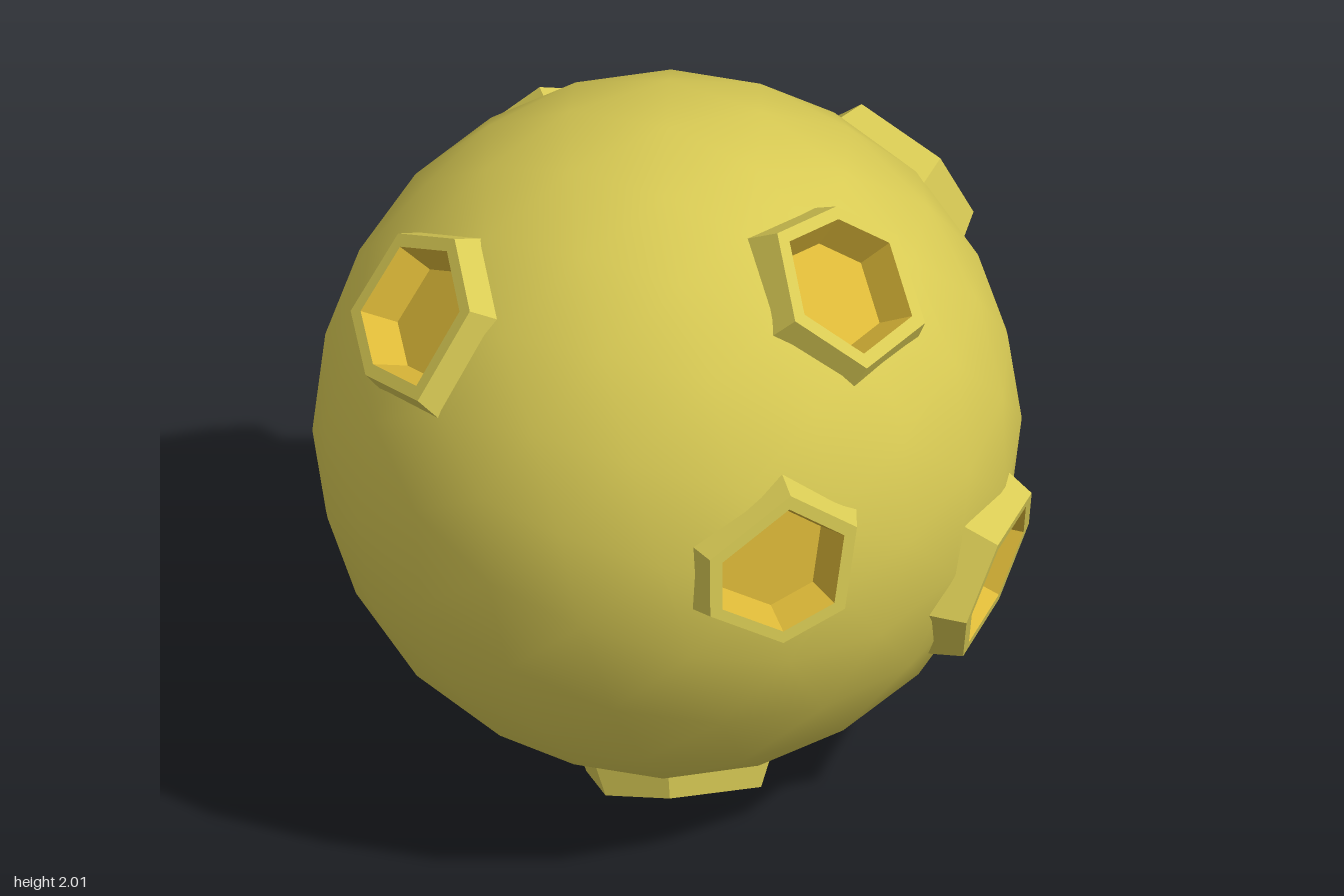
import * as THREE from 'three';

const RADIUS = 0.977;
const CENTRE = new THREE.Vector3(0, 1.02, -0.02);
const RIM = 1.01; // distance of each rim plane from the centre

// Each crater: facing direction, the axis solved from the rim plane, and the
// rim corners given in the two remaining axes
const CRATERS = [
  { n: [-0.19, 0.127, 0.97], solve: 'z', rim: [[-0.39, 0.21], [-0.15, 0.36], [0.03, 0.23], [-0.02, -0.01], [-0.2, -0.08], [-0.4, 0.04]] },
  { n: [0.235, 0.7, 0.67], solve: 'y', rim: [[0.05, 0.53], [0.27, 0.47], [0.43, 0.53], [0.41, 0.72], [0.17, 0.82], [0, 0.72]] },
  { n: [0.63, -0.265, 0.72], solve: 'z', rim: [[0.54, -0.06], [0.75, -0.06], [0.81, -0.25], [0.71, -0.46], [0.49, -0.47], [0.43, -0.27]] },
  { n: [-0.13, -0.94, 0.29], solve: 'y', rim: [[-0.3, 0.08], [-0.04, 0.09], [0.13, 0.33], [0.016, 0.5], [-0.25, 0.46], [-0.38, 0.33]] },
  { n: [0.86, 0.43, -0.25], solve: 'x', rim: [[0.59, -0.01], [0.66, -0.26], [0.51, -0.44], [0.37, -0.46], [0.22, -0.27], [0.38, -0.01]] },
  { n: [0.73, -0.51, -0.45], solve: 'x', rim: [[-0.67, -0.29], [-0.43, -0.3], [-0.34, -0.49], [-0.45, -0.61], [-0.67, -0.56]] },
  { n: [-0.8, 0.58, 0], solve: 'y', rim: [[-0.87, -0.23], [-0.72, -0.23], [-0.66, -0.02], [-0.73, 0.19], [-0.9, 0.2], [-0.93, -0.04]] },
  { n: [0.13, 0.43, -0.88], solve: 'z', rim: [[-0.09, 0.46], [-0.03, 0.29], [0.19, 0.23], [0.354, 0.35], [0.29, 0.53], [0.06, 0.62]] },
  { n: [-0.446, -0.52, -0.724], solve: 'z', rim: [[-0.614, -0.52], [-0.583, -0.37], [-0.415, -0.37], [-0.278, -0.52], [-0.31, -0.67], [-0.478, -0.67]] },
];

// Find the rim corners in 3D, ordered counter-clockwise seen from outside
function rimCorners({ n, solve, rim }) {
  const normal = new THREE.Vector3(...n).normalize();
  const [a, b] = ['x', 'y', 'z'].filter((k) => k !== solve);
  const corners = rim.map(([u, v]) => {
    const p = new THREE.Vector3();
    p[a] = u;
    p[b] = v;
    p[solve] = (RIM - normal[a] * u - normal[b] * v) / normal[solve];
    return p;
  });
  const mid = new THREE.Vector3();
  corners.forEach((p) => mid.addScaledVector(p, 1 / corners.length));
  const turn = corners[0].clone().sub(mid).cross(corners[1].clone().sub(mid));
  if (turn.dot(normal) < 0) corners.reverse();
  return { normal, mid, corners };
}

function geometryFrom(points) {
  return new THREE.BufferGeometry().setFromPoints(points);
}

// Flat-faced band between two rings of corners
function band(outer, inner) {
  const pts = [];
  outer.forEach((p, i) => {
    const j = (i + 1) % outer.length;
    pts.push(p, outer[j], inner[j], p, inner[j], inner[i]);
  });
  return pts;
}

// Split a convex polygon by a plane through the centre
function split(poly, plane) {
  const inside = [], outside = [];
  poly.forEach((p, i) => {
    const q = poly[(i + 1) % poly.length];
    const dp = p.dot(plane), dq = q.dot(plane);
    (dp >= 0 ? inside : outside).push(p);
    if ((dp >= 0) !== (dq >= 0)) {
      const cut = p.clone().lerp(q, dp / (dp - dq));
      inside.push(cut);
      outside.push(cut);
    }
  });
  return [inside, outside];
}

// Cut a crater-shaped opening out of a list of polygons
function cutOpening(polys, corners) {
  const planes = corners.map((p, i) => p.clone().cross(corners[(i + 1) % corners.length]));
  const kept = [];
  for (const poly of polys) {
    let rest = poly;
    const pieces = [];
    for (const plane of planes) {
      const [inside, outside] = split(rest, plane);
      if (outside.length > 2) pieces.push(outside);
      rest = inside;
      if (rest.length < 3) break;
    }
    if (rest.length < 3) kept.push(poly);
    else kept.push(...pieces);
  }
  return kept;
}

export function createModel() {
  const model = new THREE.Group();
  model.name = 'crateredMoon';
  const surface = new THREE.MeshStandardMaterial({ name: 'olive yellow', color: 0xd8ca54 });
  const hollow = new THREE.MeshStandardMaterial({ name: 'gold', color: 0xdcb838 });
  const moon = new THREE.Group();
  moon.name = 'moon';
  moon.position.copy(CENTRE);
  model.add(moon);

  const add = (name, geometry, material) => {
    const mesh = new THREE.Mesh(geometry, material);
    mesh.name = name;
    moon.add(mesh);
  };

  // Coarse ball with one pole towards the front
  const ball = new THREE.IcosahedronGeometry(RADIUS, 3);
  ball.rotateX(-Math.atan(0.618034));
  const pos = ball.attributes.position;
  let polys = [];
  for (let i = 0; i < pos.count; i += 3) {
    polys.push([0, 1, 2].map((k) => new THREE.Vector3().fromBufferAttribute(pos, i + k)));
  }

  CRATERS.forEach((crater, index) => {
    const { normal, mid, corners } = rimCorners(crater);
    polys = cutOpening(polys, corners);

    // Rings: sunken foot, rim edge, inner lip, floor
    const ring = (scale, drop) => corners.map((p) =>
      mid.clone().lerp(p, scale).addScaledVector(normal, -drop));
    const foot = ring(1.14, 0.1);
    const lip = ring(0.83, 0);
    const floor = ring(0.68, 0.11);

    const rim = geometryFrom([...band(foot, corners), ...band(corners, lip)]);
    rim.computeVertexNormals();
    add(`craterRim${index + 1}`, rim, surface);

    const bowlPoints = band(lip, floor);
    for (let i = 1; i < floor.length - 1; i++) bowlPoints.push(floor[0], floor[i], floor[i + 1]);
    const bowl = geometryFrom(bowlPoints);
    bowl.computeVertexNormals();
    add(`craterBowl${index + 1}`, bowl, hollow);
  });

  // Smooth-shaded ball with the openings removed
  const points = [];
  for (const poly of polys) {
    for (let i = 1; i < poly.length - 1; i++) points.push(poly[0], poly[i], poly[i + 1]);
  }
  const shell = geometryFrom(points);
  const normals = points.flatMap((p) => p.clone().normalize().toArray());
  shell.setAttribute('normal', new THREE.Float32BufferAttribute(normals, 3));
  add('ball', shell, surface);

  return model;
}
